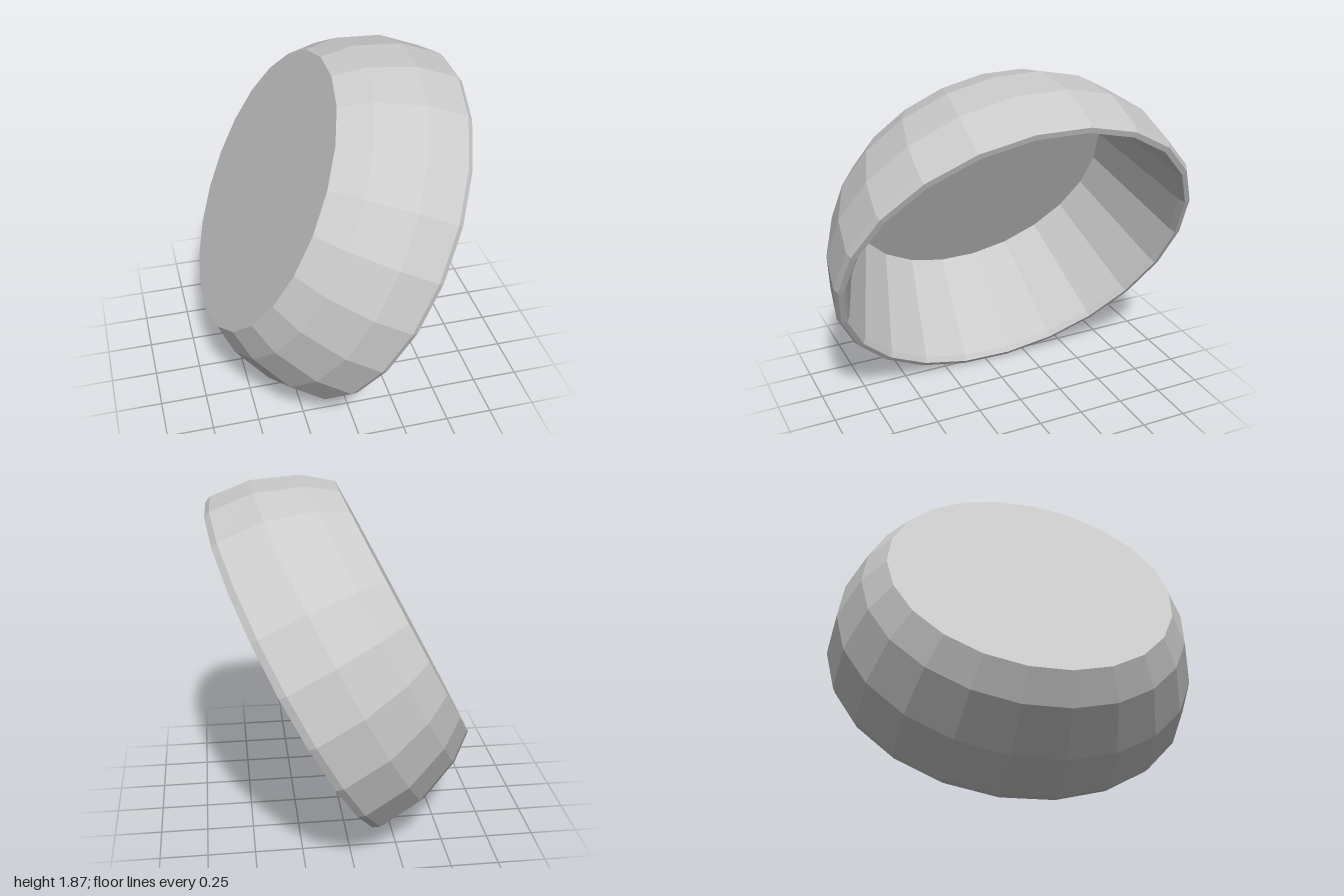
import * as THREE from 'three';

export function createModel() {
  const group = new THREE.Group();
  group.name = 'tiltedBowl';

  // Closed profile: flat base, rounded outer wall, bevelled lip, straight inner wall, floor
  const profile = [
    [0, 0], [0.762, 0], [0.874, 0.14], [0.974, 0.38], [1.0, 0.61],
    [0.985, 0.645], [0.955, 0.65], [0.935, 0.62], [0.735, 0.05], [0, 0.05],
  ].map(([r, h]) => new THREE.Vector2(r, h));
  const geometry = new THREE.LatheGeometry(profile, 22);

  // The lip dips slightly on one side
  const pos = geometry.attributes.position;
  for (let i = 0; i < pos.count; i++) {
    const h = pos.getY(i);
    const weight = Math.max(0, (h - 0.4) / 0.25);
    pos.setY(i, h + 0.03 * pos.getZ(i) * weight);
  }
  geometry.computeVertexNormals();

  const bowl = new THREE.Mesh(
    geometry,
    new THREE.MeshStandardMaterial({ color: 0xcccccc, flatShading: true })
  );
  bowl.name = 'bowl';

  // Stand the bowl on its lip edge, with the opening towards +x and a little down
  const up = new THREE.Vector3(0.463, 0.886, 0).normalize();
  const axis = new THREE.Vector3(up.y, -up.x, 0);
  const side = new THREE.Vector3().crossVectors(up, axis);
  bowl.quaternion.setFromRotationMatrix(new THREE.Matrix4().makeBasis(up, axis, side));
  bowl.position.set(-0.344, 1.176, 0);
  group.add(bowl);
  return group;
}
